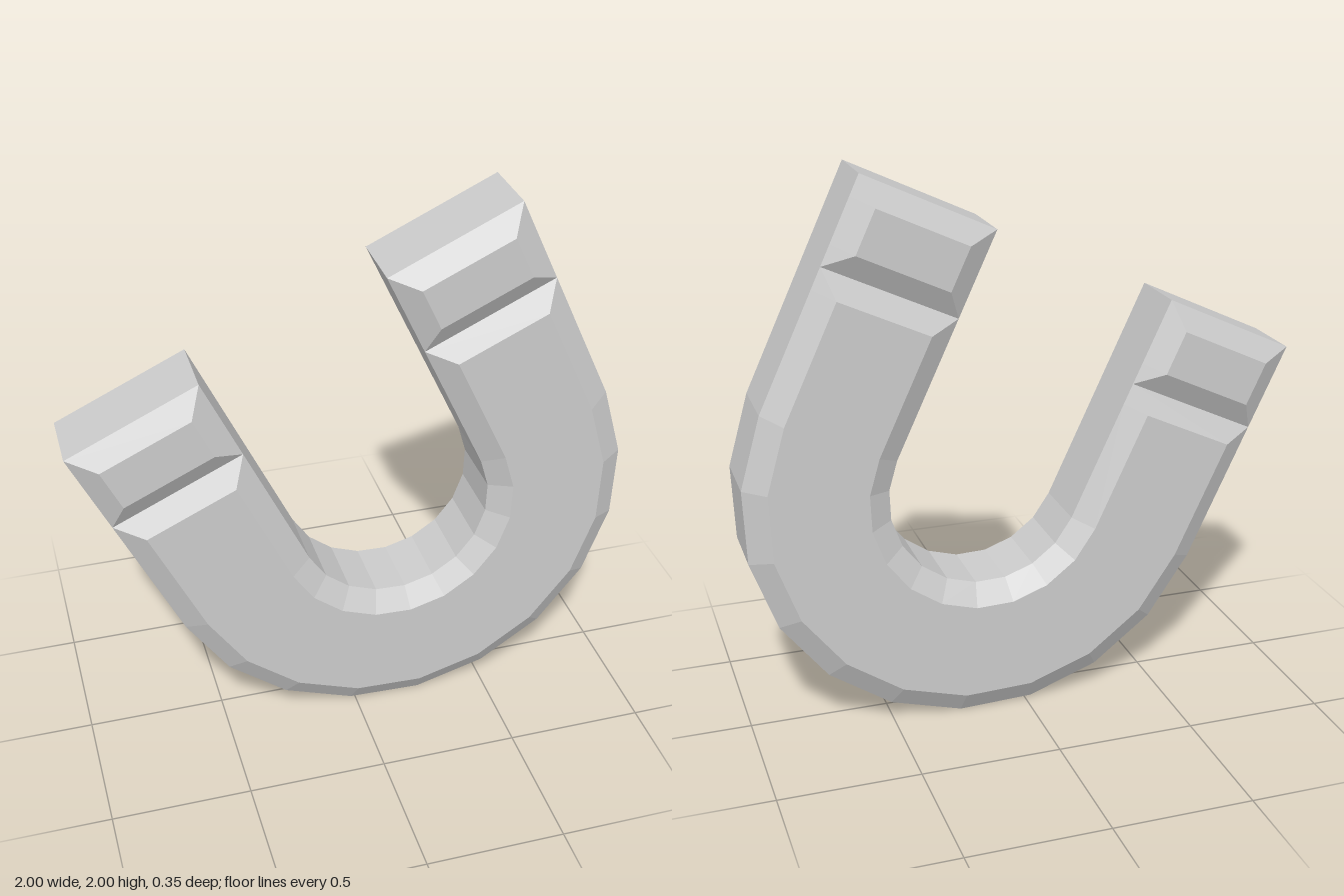
import * as THREE from 'three';

const R_OUT = 0.861, R_IN = 0.352;      // outer and inner radius of the U
const Z_EDGE = 0.123, Z_FACE = 0.173;   // half depth at the rim and on the flat faces
const BEVEL = 0.08;
const LEG = 0.858, NOTCH = 0.533;       // heights above the arc centre
const ARC_STEPS = 10;

// Cross-section at a given arc angle and leg height; bevel 0 collapses it to a plain rectangle
function section(angle, height, bevel = BEVEL) {
  const z = bevel ? Z_FACE : Z_EDGE;
  const half = [[R_OUT, Z_EDGE], [R_OUT - bevel, z], [R_IN + bevel, z], [R_IN, Z_EDGE]];
  const back = half.map(([r, d]) => [r, -d]).reverse();
  return [...half, ...back].map(([r, d]) =>
    new THREE.Vector3(Math.cos(angle) * r, Math.sin(angle) * r + height, d));
}

// Flat-shaded skin through a row of cross-sections, with optional end caps
function loft(name, sections, material, capStart = false, capEnd = false) {
  const pos = [];
  const tri = (a, b, c) => {
    if (new THREE.Triangle(a, b, c).getArea() > 1e-7) {
      for (const p of [a, b, c]) pos.push(p.x, p.y, p.z);
    }
  };
  for (let i = 0; i < sections.length - 1; i++) {
    const s = sections[i], t = sections[i + 1];
    for (let j = 0; j < s.length; j++) {
      const k = (j + 1) % s.length;
      tri(s[j], t[j], t[k]);
      tri(s[j], t[k], s[k]);
    }
  }
  const cap = (s) => {
    for (let j = 1; j < s.length - 1; j++) tri(s[0], s[j], s[j + 1]);
  };
  if (capStart) cap(sections[0]);
  if (capEnd) cap([...sections[sections.length - 1]].reverse());
  const geometry = new THREE.BufferGeometry();
  geometry.setAttribute('position', new THREE.Float32BufferAttribute(pos, 3));
  geometry.computeVertexNormals();
  const mesh = new THREE.Mesh(geometry, material);
  mesh.name = name;
  return mesh;
}

export function createModel() {
  const group = new THREE.Group();
  group.name = 'horseshoeMagnet';
  const material = new THREE.MeshStandardMaterial({ color: 0xcccccc, flatShading: true });
  const LEFT = Math.PI, RIGHT = Math.PI * 2;

  // Curved body, from one notch around the bend to the other
  const body = [section(LEFT, NOTCH, 0), section(LEFT, NOTCH - BEVEL)];
  for (let i = 0; i <= ARC_STEPS; i++) body.push(section(LEFT + (Math.PI * i) / ARC_STEPS, 0));
  body.push(section(RIGHT, NOTCH - BEVEL), section(RIGHT, NOTCH, 0));
  group.add(loft('body', body, material));

  // Bevelled pole tips beyond the notches
  const tip = (angle) => [
    section(angle, LEG, 0), section(angle, LEG - BEVEL),
    section(angle, NOTCH + BEVEL), section(angle, NOTCH, 0),
  ];
  group.add(loft('rightPoleTip', tip(LEFT), material, true, false));
  group.add(loft('leftPoleTip', tip(RIGHT).reverse(), material, false, true));

  // Tilt the whole magnet and rest it on the ground
  group.rotation.z = THREE.MathUtils.degToRad(25);
  group.position.set(0.145, 0.86, 0);
  const root = new THREE.Group();
  root.name = 'magnet';
  root.add(group);
  return root;
}
